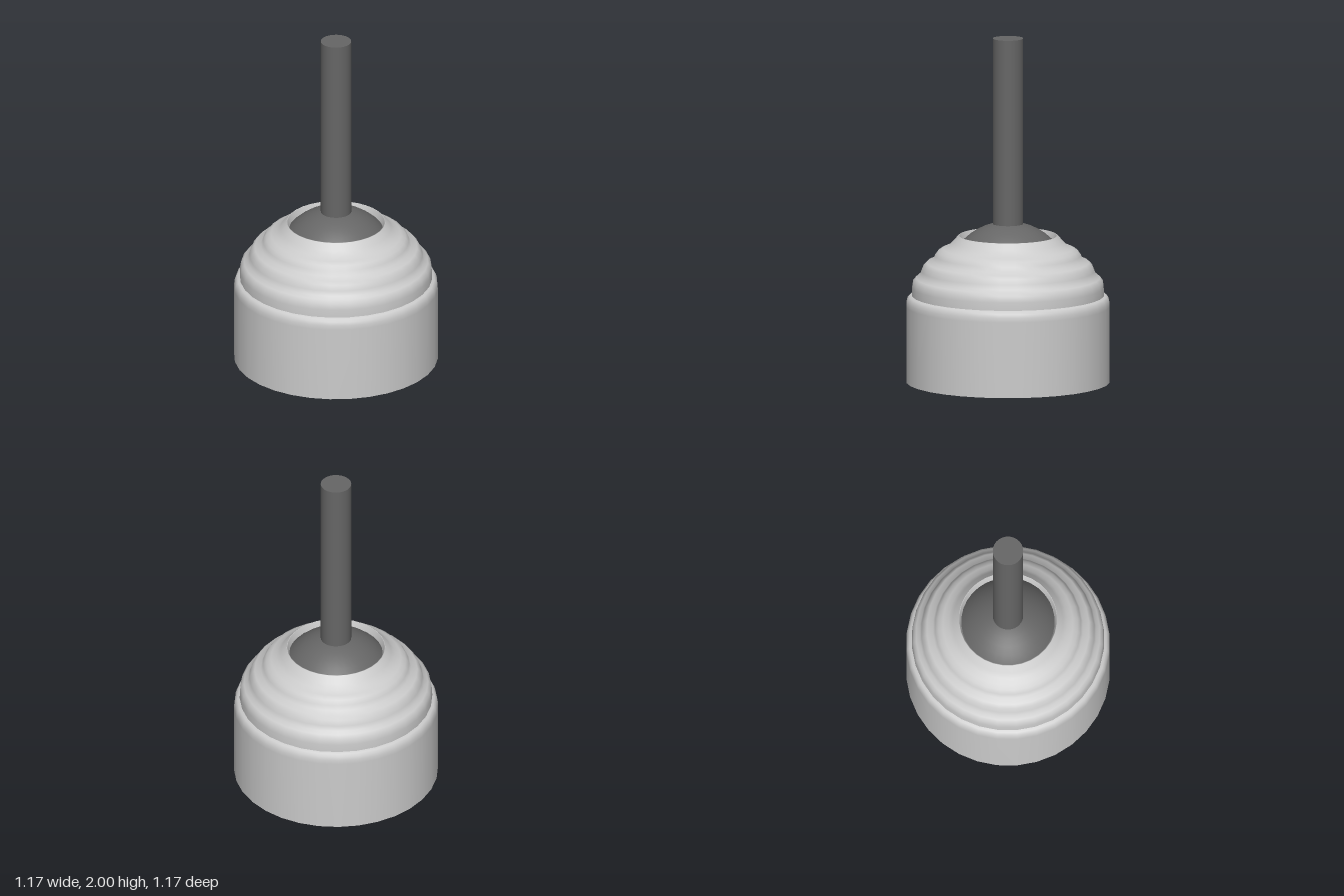
import * as THREE from 'three';

const SIDES = 32;

export function createModel() {
  const group = new THREE.Group();
  const grey = new THREE.MeshStandardMaterial({ color: 0xcccccc });
  const dark = new THREE.MeshStandardMaterial({ color: 0x666666 });
  const bootMat = new THREE.MeshStandardMaterial({ color: 0xcccccc, side: THREE.DoubleSide });

  const add = (name, geometry, material, y = 0) => {
    const mesh = new THREE.Mesh(geometry, material);
    mesh.name = name;
    mesh.position.y = y;
    group.add(mesh);
  };
  const lathe = (pts) =>
    new THREE.LatheGeometry(pts.map(([r, y]) => new THREE.Vector2(r, y)), SIDES);

  // Base drum with a rounded shoulder; the floor is a separate disc for a sharp edge
  add('baseHousing', lathe([
    [0.587, 0], [0.587, 0.44], [0.585, 0.465], [0.579, 0.485], [0.568, 0.498], [0.55, 0.505],
  ]), grey);
  add('baseFloor', new THREE.CircleGeometry(0.587, SIDES).rotateX(Math.PI / 2), grey);

  // Flexible boot: bulging steps climbing to the opening
  const steps = [
    [0.554, 0.5], [0.553, 0.55], [0.547, 0.585], [0.53, 0.605],
    [0.508, 0.618], [0.498, 0.645], [0.486, 0.675], [0.468, 0.694],
    [0.432, 0.708], [0.42, 0.735], [0.402, 0.76], [0.375, 0.775],
    [0.342, 0.789], [0.318, 0.815], [0.284, 0.851],
  ];
  add('boot', lathe(steps), bootMat);
  add('bootRim', lathe([[0.284, 0.851], [0.279, 0.851], [0.266, 0.8]]), bootMat);

  // Pivot ball showing through the opening
  add('pivotBall', new THREE.SphereGeometry(0.365, SIDES, 24), dark, 0.565);

  // Stick
  add('stick', new THREE.CylinderGeometry(0.088, 0.088, 1.15, SIDES), dark, 1.425);

  return group;
}
